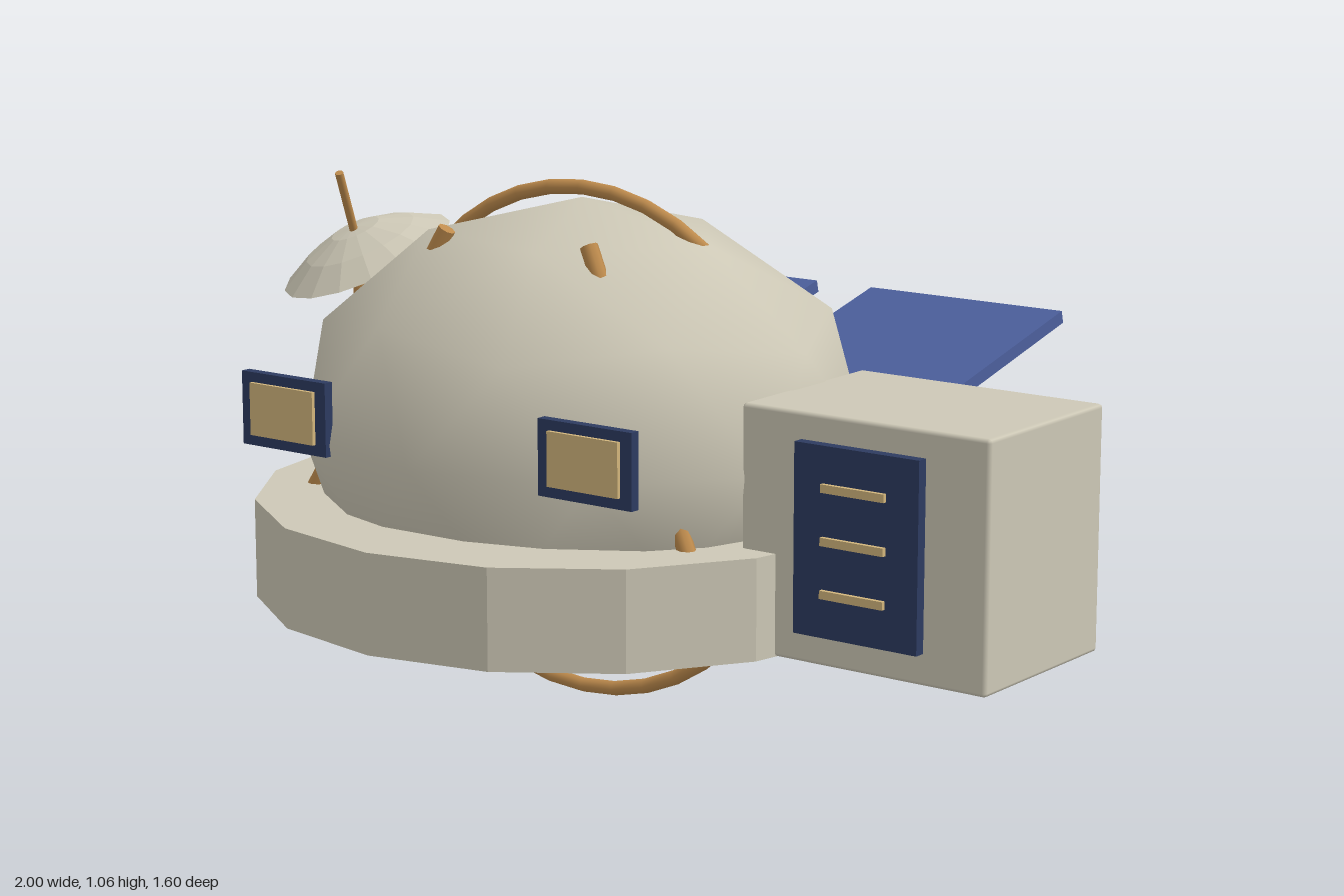
import * as THREE from 'three';
import { RoundedBoxGeometry } from 'three/addons/geometries/RoundedBoxGeometry.js';

const material = (name, color, extra = {}) => {
  const m = new THREE.MeshStandardMaterial({ color, ...extra });
  m.name = name;
  return m;
};

export function createModel() {
  const model = new THREE.Group();
  model.name = 'domeStation';

  const cream = material('cream hull', 0xcdc8b6);
  const creamFlat = material('cream hull', 0xcdc8b6, { flatShading: true, side: THREE.DoubleSide });
  const copper = material('copper', 0xbe8b4d);
  const navy = material('navy trim', 0x2d3b60);
  const blue = material('solar blue', 0x4c5f9c);
  const gold = material('pale gold', 0xd2b57c);

  const add = (name, geometry, mat, x = 0, y = 0, z = 0) => {
    const mesh = new THREE.Mesh(geometry, mat);
    mesh.name = name;
    mesh.position.set(x, y, z);
    model.add(mesh);
    return mesh;
  };
  // Box given by its lower and upper limits
  const block = (name, mat, x0, x1, y0, y1, z0, z1) =>
    add(name, new THREE.BoxGeometry(x1 - x0, y1 - y0, z1 - z0), mat,
      (x0 + x1) / 2, (y0 + y1) / 2, (z0 + z1) / 2);
  // Round bar between two points
  const bar = (name, a, b, radius, sides = 8) => {
    const p = new THREE.Vector3(...a), q = new THREE.Vector3(...b);
    const mesh = add(name, new THREE.CylinderGeometry(radius, radius, p.distanceTo(q), sides), copper);
    mesh.position.copy(p).add(q).multiplyScalar(0.5);
    mesh.quaternion.setFromUnitVectors(new THREE.Vector3(0, 1, 0), q.sub(p).normalize());
    return mesh;
  };

  const cx = -0.09, cz = 0.14;

  // Dome: squashed icosphere standing on a vertex
  const dome = new THREE.IcosahedronGeometry(1, 1);
  dome.rotateZ(-Math.atan(2 / (1 + Math.sqrt(5))));
  dome.scale(0.608, 0.46, 0.54);
  add('dome', dome, cream, cx, 0.57, cz);

  // Sixteen-sided base
  add('base', new THREE.CylinderGeometry(0.66, 0.66, 0.2, 16), creamFlat, cx, 0.335, cz);

  // Hoop around the dome
  add('hoop', new THREE.TorusGeometry(0.513, 0.015, 8, 40), copper, cx, 0.537, cz);

  // Side module with drawer panel and handles
  add('sideModule', new RoundedBoxGeometry(0.545, 0.48, 0.4, 1, 0.008), cream, 0.7225, 0.475, 0.145);
  block('drawerPanel', navy, 0.586, 0.86, 0.297, 0.663, 0.34, 0.368);
  for (const y of [0.382, 0.483, 0.584])
    block('drawerHandle', gold, 0.65, 0.79, y - 0.008, y + 0.008, 0.36, 0.377);

  for (const side of [-1, 1]) {
    // Windows
    const wx = cx + side * 0.376;
    block('windowFrame', navy, wx - 0.11, wx + 0.11, 0.548, 0.696, 0.593, 0.614);
    block('windowPane', gold, wx - 0.083, wx + 0.083, 0.57, 0.676, 0.61, 0.622);

    // Solar panels on posts
    const px = cx + side * 0.314;
    const panel = add('solarPanel', new THREE.BoxGeometry(0.484, 0.027, 0.505), blue, px, 0.652, -0.55);
    panel.rotation.x = 0.24;
    bar('solarPost', [px, 0.235, -0.51], [px, 0.615, -0.51], 0.018);

    // Braces that break through the dome
    bar('brace', [cx + side * 0.475, 0.42, 0.423], [cx + side * 0.178, 0.975, 0.345], 0.018);
  }

  // Antenna: mast, shallow tilted dish and feed rod
  bar('antennaMast', [-0.82, 0.235, -0.02], [-0.82, 0.85, -0.02], 0.019);
  const profile = [[0.193, 0], [0.125, 0.04], [0.055, 0.066], [0, 0.072]]
    .map(([r, y]) => new THREE.Vector2(r, y));
  const dish = add('antennaDish', new THREE.LatheGeometry(profile, 16), creamFlat, -0.813, 0.817, -0.03);
  dish.rotation.set(0.36, 0, 0.2);
  bar('antennaFeed', [-0.82, 0.865, 0.0], [-0.795, 1.01, 0.075], 0.009);

  return model;
}
